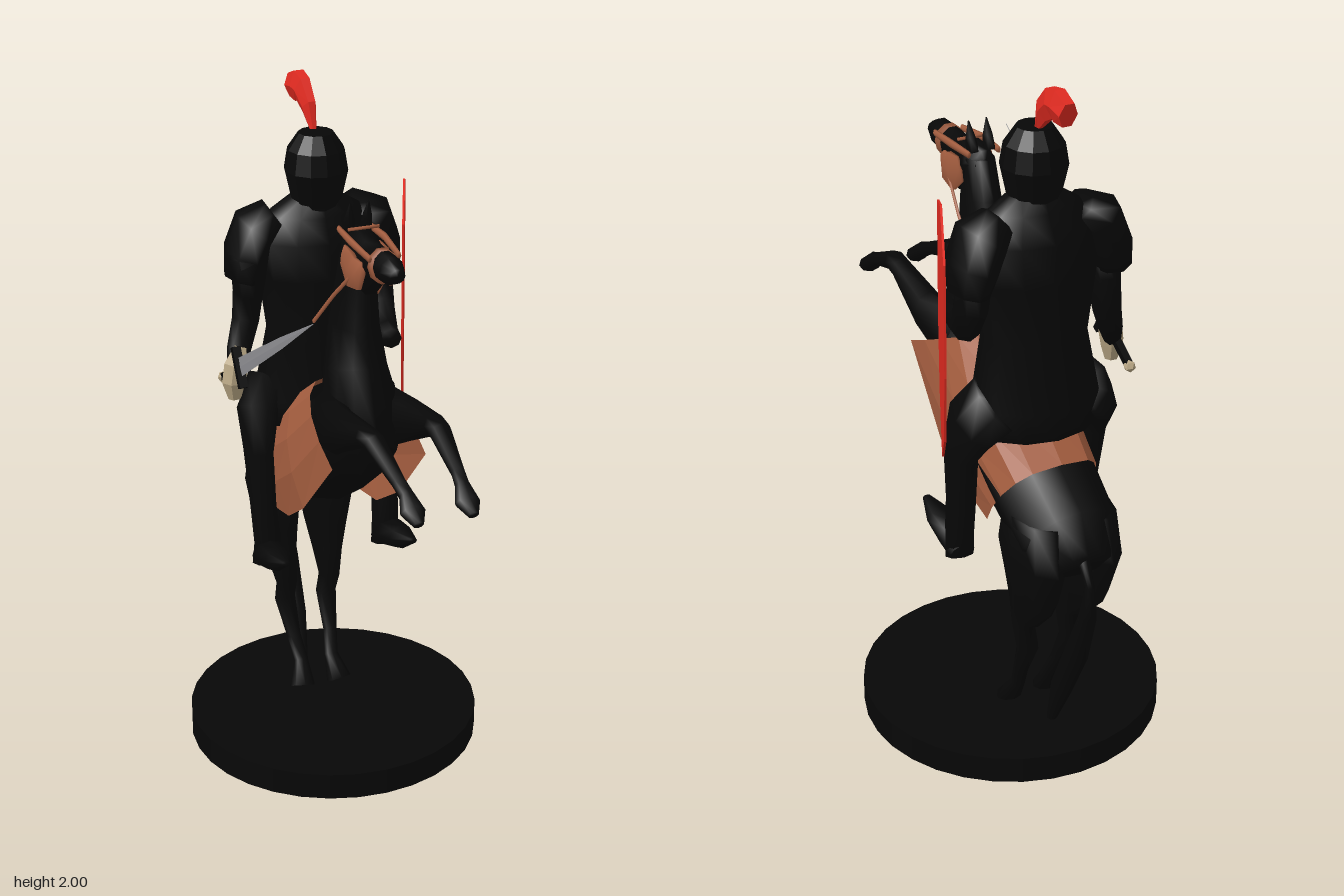
import * as THREE from 'three';

const mat = (name, color) => {
  const m = new THREE.MeshStandardMaterial({ color });
  m.name = name;
  return m;
};

export function createModel() {
  const root = new THREE.Group();
  root.name = 'mountedKnight';
  const black = mat('black', 0x070707);
  const red = mat('red', 0xdf2a20);
  const leather = mat('leather brown', 0xa35d3f);
  const beige = mat('beige', 0xb8a684);
  const steel = mat('steel', 0x8c8c90);
  const cloth = mat('saddle cloth brown', 0xa35d3f);
  cloth.side = THREE.DoubleSide;

  const add = (name, geo, material, parent = root) => {
    const mesh = new THREE.Mesh(geo, material);
    mesh.name = name;
    parent.add(mesh);
    return mesh;
  };
  const flat = (geo) => {
    const g = geo.index ? geo.toNonIndexed() : geo;
    g.computeVertexNormals();
    return g;
  };

  // Closed tube of elliptical rings; each station is [x, y, z, sideRadius, otherRadius]
  const loft = (stations, sides = 8) => {
    const c = stations.map((s) => new THREE.Vector3(s[0], s[1], s[2]));
    const n = c.length, pos = [], idx = [];
    c.forEach((p, i) => {
      const t = c[Math.min(i + 1, n - 1)].clone().sub(c[Math.max(i - 1, 0)]).normalize();
      const side = new THREE.Vector3(1, 0, 0).addScaledVector(t, -t.x).normalize();
      const up = t.clone().cross(side);
      const [, , , rs, ru = rs] = stations[i];
      for (let j = 0; j < sides; j++) {
        const a = (j / sides) * Math.PI * 2;
        const v = p.clone().addScaledVector(side, Math.cos(a) * rs).addScaledVector(up, Math.sin(a) * ru);
        pos.push(v.x, v.y, v.z);
      }
    });
    pos.push(...c[0].toArray(), ...c[n - 1].toArray());
    for (let j = 0; j < sides; j++) {
      const k = (j + 1) % sides, e = (n - 1) * sides;
      for (let i = 0; i < n - 1; i++) {
        const r = i * sides, q = r + sides;
        idx.push(r + j, r + k, q + j, r + k, q + k, q + j);
      }
      idx.push(n * sides, k, j, n * sides + 1, e + j, e + k);
    }
    const g = new THREE.BufferGeometry();
    g.setAttribute('position', new THREE.Float32BufferAttribute(pos, 3));
    g.setIndex(idx);
    g.computeVertexNormals();
    return g;
  };
  const flip = (stations) => stations.map(([x, ...rest]) => [-x, ...rest]);
  const pair = (name, stations, material, sides) => {
    add(name + 'Left', loft(stations, sides), material);
    add(name + 'Right', loft(flip(stations), sides), material);
  };

  // Round base
  add('base', flat(new THREE.CylinderGeometry(0.435, 0.435, 0.08, 32)), black).position.set(0, 0.04, -0.175);

  // Rearing horse
  add('horseBody', loft([
    [0, 0.69, -0.605, 0.085, 0.045], [0, 0.735, -0.52, 0.145, 0.125], [0, 0.815, -0.38, 0.155, 0.13],
    [0, 0.92, -0.2, 0.157, 0.155], [0, 1.04, -0.02, 0.14, 0.14], [0, 1.13, 0.06, 0.12, 0.115],
    [0, 1.27, 0.01, 0.085, 0.11], [0, 1.4, 0.0, 0.065, 0.1], [0, 1.54, 0.02, 0.05, 0.08],
    [0, 1.65, 0.03, 0.04, 0.055],
  ], 12), black);
  add('horseHead', loft([
    [0, 1.64, -0.01, 0.03, 0.04], [0, 1.63, 0.04, 0.048, 0.065], [0, 1.595, 0.12, 0.05, 0.08],
    [0, 1.635, 0.2, 0.036, 0.046], [0, 1.637, 0.27, 0.036, 0.04], [0, 1.635, 0.31, 0.022, 0.02],
  ], 10), black);
  pair('ear', [[0.025, 1.67, 0.02, 0.02, 0.02], [0.026, 1.71, 0.03, 0.015], [0.027, 1.755, 0.04, 0.002]], black, 6);
  pair('foreleg', [
    [0.08, 1.11, 0.02, 0.05, 0.1], [0.1, 1.15, 0.16, 0.045, 0.065], [0.1, 1.205, 0.34, 0.032, 0.03],
    [0.095, 1.205, 0.39, 0.032, 0.03], [0.085, 1.15, 0.53, 0.02, 0.02], [0.08, 1.13, 0.57, 0.02, 0.024],
    [0.078, 1.1, 0.61, 0.036, 0.025], [0.078, 1.08, 0.65, 0.015, 0.012],
  ], black);
  pair('hindLeg', [
    [0.08, 0.8, -0.46, 0.065, 0.13], [0.085, 0.68, -0.465, 0.07, 0.155], [0.08, 0.56, -0.45, 0.055, 0.125],
    [0.075, 0.47, -0.415, 0.042, 0.075], [0.07, 0.4, -0.385, 0.034, 0.035], [0.068, 0.33, -0.41, 0.033, 0.03],
    [0.06, 0.22, -0.355, 0.022, 0.022], [0.05, 0.15, -0.32, 0.022, 0.02], [0.06, 0.08, -0.28, 0.04, 0.03],
  ], black);
  add('tail', loft([
    [0, 0.71, -0.6, 0.018], [0, 0.64, -0.637, 0.014], [0, 0.54, -0.63, 0.028, 0.022],
    [0, 0.38, -0.57, 0.035, 0.035], [0, 0.22, -0.49, 0.03, 0.035], [0, 0.08, -0.435, 0.015, 0.015],
  ]), black);

  // Bridle and reins
  add('noseBand', loft([[0, 1.63, 0.2, 0.042, 0.05], [0, 1.633, 0.225, 0.041, 0.048]], 10), leather);
  pair('cheekPatch', [
    [0.05, 1.615, 0.045, 0.006, 0.04], [0.05, 1.59, 0.1, 0.012, 0.062], [0.046, 1.59, 0.14, 0.012, 0.05], [0.042, 1.615, 0.17, 0.006, 0.02],
  ], leather, 6);
  pair('cheekStrap', [[0.045, 1.672, 0.0, 0.006, 0.01], [0.05, 1.67, 0.1, 0.008, 0.012], [0.042, 1.658, 0.22, 0.006, 0.01]], leather, 6);
  pair('rein', [[0.05, 1.6, 0.14, 0.004, 0.007], [0.068, 1.49, 0.02, 0.004, 0.007], [0.075, 1.36, -0.12, 0.004, 0.007]], leather, 5);
  add('browBand', loft([[-0.045, 1.692, 0.07, 0.005], [0.045, 1.692, 0.071, 0.005]], 4), leather);

  // Saddle cloth: bands from spine to hem, [spineY, spineZ, hemY, hemZ, halfWidth, tuck]
  const rows = [
    [1.19, -0.12, 1.045, 0.19, 0.152, 0.08], [1.13, -0.2, 0.83, -0.02, 0.186, 0.2],
    [1.05, -0.32, 0.735, -0.17, 0.186, 0.25], [0.935, -0.47, 0.71, -0.3, 0.172, 0.18],
  ];
  const pos = [], idx = [], steps = 10;
  rows.forEach(([sy, sz, hy, hz, w, tuck], i) => {
    for (let j = 0; j <= steps; j++) {
      const a = (j / steps - 0.5) * Math.PI, f = 1 - Math.cos(a), s = Math.sin(a);
      pos.push(w * Math.sign(s) * Math.abs(s) ** 0.6 * (1 - tuck * f * f), sy + (hy - sy) * f, sz + (hz - sz) * f);
      if (i < rows.length - 1 && j < steps) {
        const p = i * (steps + 1) + j, q = p + steps + 1;
        idx.push(p, p + 1, q, p + 1, q + 1, q);
      }
    }
  });
  const clothGeo = new THREE.BufferGeometry();
  clothGeo.setAttribute('position', new THREE.Float32BufferAttribute(pos, 3));
  clothGeo.setIndex(idx);
  add('saddleCloth', flat(clothGeo), cloth);

  // Knight's trunk and skirt
  add('torso', loft([
    [0, 1.0, -0.31, 0.18, 0.14], [0, 1.08, -0.31, 0.185, 0.145], [0, 1.27, -0.3, 0.15, 0.125],
    [0, 1.45, -0.3, 0.175, 0.13], [0, 1.56, -0.3, 0.185, 0.12], [0, 1.63, -0.295, 0.14, 0.08], [0, 1.68, -0.29, 0.06, 0.06],
  ], 12), black);
  pair('pauldron', [
    [0.12, 1.62, -0.315, 0.045, 0.07], [0.17, 1.585, -0.32, 0.07, 0.095], [0.2, 1.51, -0.325, 0.066, 0.095], [0.213, 1.44, -0.325, 0.054, 0.08],
  ], black);
  pair('leg', [
    [0.13, 1.09, -0.33, 0.08, 0.1], [0.185, 1.03, -0.3, 0.06, 0.1], [0.2, 0.92, -0.255, 0.042, 0.07],
    [0.193, 0.75, -0.24, 0.04, 0.052], [0.188, 0.64, -0.22, 0.042, 0.045], [0.19, 0.57, -0.225, 0.045, 0.03],
  ], black);
  pair('foot', [
    [0.19, 0.585, -0.24, 0.04, 0.035], [0.193, 0.615, -0.18, 0.045, 0.045], [0.197, 0.63, -0.11, 0.04, 0.035], [0.2, 0.655, -0.03, 0.012, 0.008],
  ], black);

  // Arms: right hand holds the sword, left arm reaches behind the shield
  add('rightArm', loft([
    [-0.2, 1.52, -0.3, 0.06, 0.07], [-0.2, 1.4, -0.32, 0.045, 0.055], [-0.205, 1.31, -0.33, 0.042, 0.045],
    [-0.24, 1.23, -0.295, 0.036, 0.036], [-0.262, 1.17, -0.27, 0.025, 0.025],
  ]), black);
  add('leftArm', loft([
    [0.19, 1.52, -0.32, 0.055, 0.065], [0.2, 1.39, -0.32, 0.045, 0.055], [0.19, 1.31, -0.27, 0.043, 0.045],
    [0.165, 1.28, -0.16, 0.033, 0.035], [0.155, 1.28, -0.1, 0.03, 0.03],
  ]), black);
  add('glove', flat(loft([
    [-0.243, 1.25, -0.27, 0.018, 0.025], [-0.26, 1.2, -0.26, 0.037, 0.036], [-0.27, 1.15, -0.255, 0.036, 0.034], [-0.268, 1.1, -0.255, 0.02, 0.018],
  ], 6)), beige);

  // Helmet and plume
  const helmet = [[0.062, 1.6], [0.07, 1.65], [0.092, 1.75], [0.082, 1.81], [0.05, 1.857], [0, 1.862]];
  add('helmet', flat(new THREE.LatheGeometry(helmet.map((p) => new THREE.Vector2(...p)), 12)), black).position.z = -0.29;
  add('plume', flat(loft([
    [0, 1.85, -0.305, 0.008, 0.008], [0, 1.915, -0.343, 0.021, 0.036], [0, 1.952, -0.39, 0.027, 0.046],
    [0, 1.955, -0.42, 0.029, 0.05], [0, 1.945, -0.47, 0.027, 0.038],
  ], 6)), red);

  // Sword lying along the local z axis, raised forward
  const sword = new THREE.Group();
  sword.name = 'sword';
  sword.position.set(-0.266, 1.19, -0.25);
  sword.rotation.x = -Math.atan2(0.38, 0.635);
  root.add(sword);
  add('blade', flat(loft([[0, 0, 0.02, 0.0012, 0.028], [0, 0, 0.45, 0.0012, 0.016], [0, 0, 0.74, 0.0008, 0.001]], 4)), steel, sword);
  add('crossGuard', new THREE.BoxGeometry(0.025, 0.12, 0.02), black, sword).position.z = 0.04;
  add('grip', new THREE.BoxGeometry(0.02, 0.02, 0.14), black, sword).position.z = -0.06;
  add('pommel', new THREE.IcosahedronGeometry(0.018, 0), beige, sword).position.z = -0.13;

  // Shield: thin plate turned outward and slightly forward
  const outline = [[0, 1.685], [-0.195, 1.615], [-0.202, 1.275], [-0.135, 1.07], [0, 0.94], [0.15, 1.07], [0.202, 1.285], [0.198, 1.605]];
  const shape = new THREE.Shape(outline.map((p) => new THREE.Vector2(...p)));
  const shield = add('shield', new THREE.ExtrudeGeometry(shape, { depth: 0.006, bevelEnabled: false }), red);
  shield.position.set(0.268, 0, -0.293);
  shield.rotation.y = Math.atan2(0.37, 0.16);
  return root;
}
